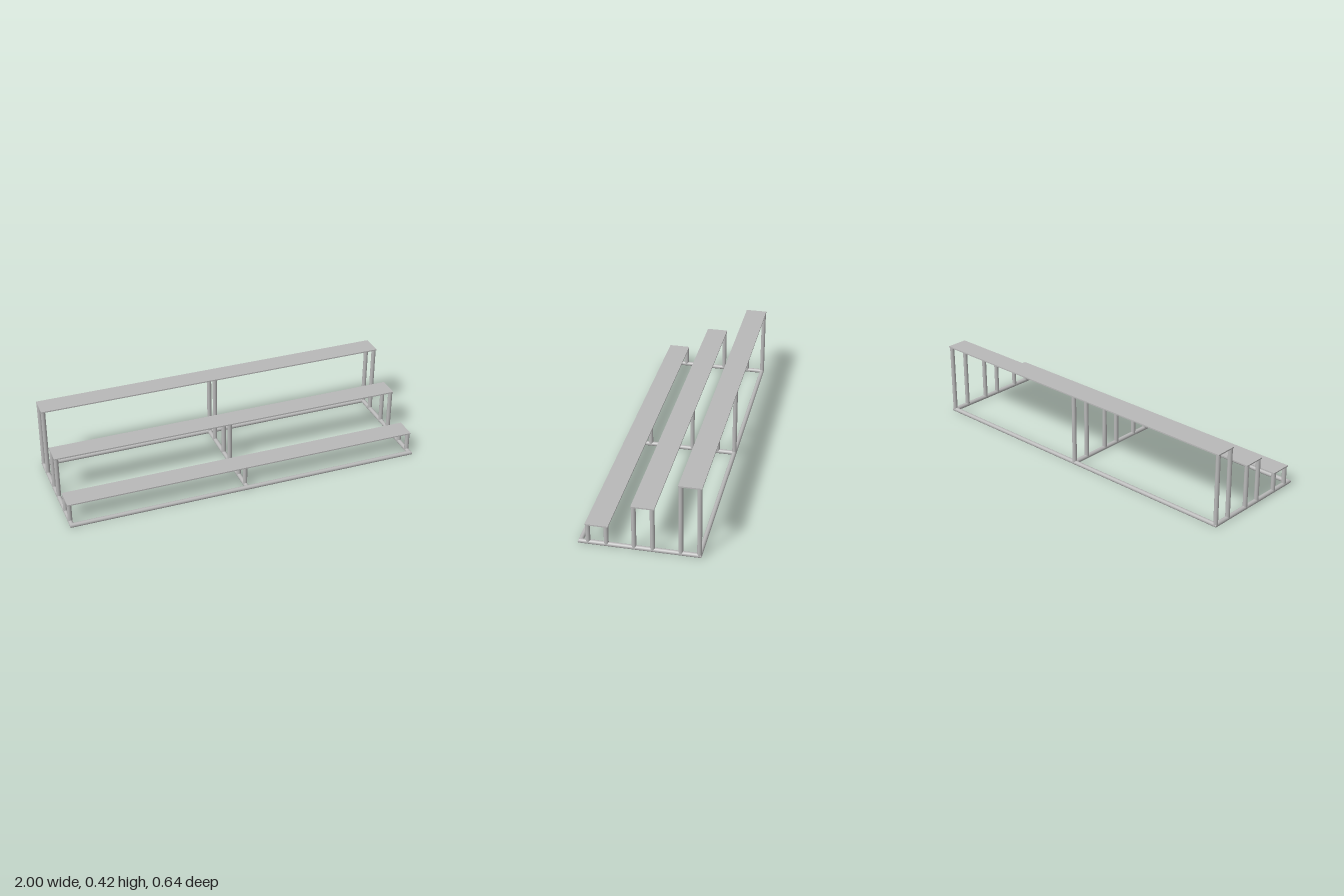
import * as THREE from 'three';

const R = 0.0122;            // tube radius
const HALF_X = 1, HALF_Z = 0.319;
const SHELF_DEPTH = 0.12, SHELF_THICK = 0.007;

export function createModel() {
  const group = new THREE.Group();
  const steel = new THREE.MeshStandardMaterial({ color: 0xb8b8b8 });
  steel.name = 'grey steel';

  const add = (geometry, name, x, y, z) => {
    const mesh = new THREE.Mesh(geometry, steel);
    mesh.name = name;
    mesh.position.set(x, y, z);
    group.add(mesh);
    return mesh;
  };

  // Tube along x whose ends are mitred at 45 degrees; +z is the outer side
  const mitredTube = (half) => {
    const g = new THREE.CylinderGeometry(R, R, 2 * (half - R), 24).rotateZ(Math.PI / 2);
    const p = g.attributes.position;
    for (let i = 0; i < p.count; i++) {
      p.setX(i, p.getX(i) + Math.sign(p.getX(i)) * p.getZ(i));
    }
    return g;
  };

  // Base frame: long rails, end rails and a centre rail
  for (const s of [1, -1]) {
    const long = add(mitredTube(HALF_X), s > 0 ? 'frontRail' : 'backRail', 0, R, s * (HALF_Z - R));
    long.rotation.y = s > 0 ? 0 : Math.PI;
    const end = add(mitredTube(HALF_Z), s > 0 ? 'leftRail' : 'rightRail', s * (HALF_X - R), R, 0);
    end.rotation.y = s * Math.PI / 2;
  }
  const centre = new THREE.CylinderGeometry(R, R, 2 * (HALF_Z - R), 24).rotateX(Math.PI / 2);
  add(centre, 'centreRail', 0, R, 0);

  // Three stepped shelves, each on three pairs of posts
  const tiers = [
    { name: 'front', z: 0.22, top: 0.125 },
    { name: 'middle', z: -0.019, top: 0.264 },
    { name: 'back', z: -0.259, top: 0.418 },
  ];
  for (const { name, z, top } of tiers) {
    add(new THREE.BoxGeometry(2 * HALF_X, SHELF_THICK, SHELF_DEPTH),
      name + 'Shelf', 0, top - SHELF_THICK / 2, z);
    const height = top - SHELF_THICK - R;
    const post = new THREE.CylinderGeometry(R, R, height, 24);
    for (const x of [-HALF_X + R, 0, HALF_X - R]) {
      for (const s of [1, -1]) {
        add(post, name + 'Post', x, R + height / 2, z + s * (SHELF_DEPTH / 2 - R));
      }
    }
  }
  return group;
}
